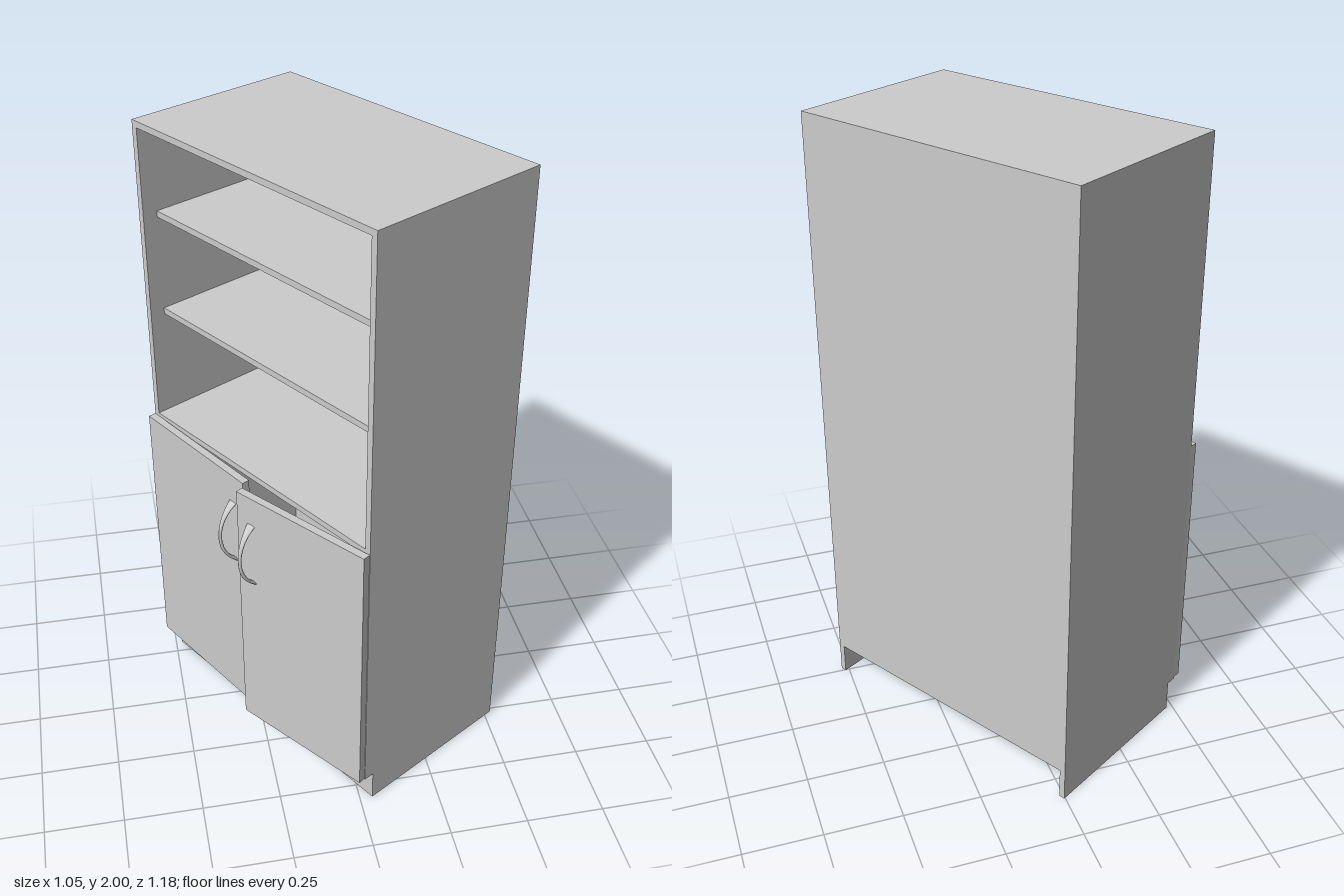
import * as THREE from 'three';

const W = 1.0, D = 0.6, H = 2, T = 0.02;
const KICK_H = 0.105, KICK_IN = 0.035;
const mat = new THREE.MeshStandardMaterial({ color: 0xcccccc, side: THREE.DoubleSide });

function add(parent, name, geometry, x = 0, y = 0, z = 0) {
  const mesh = new THREE.Mesh(geometry, mat);
  mesh.name = name;
  mesh.position.set(x, y, z);
  parent.add(mesh);
  return mesh;
}

// Box given by its limits on each axis
function panel(parent, name, [x0, x1], [y0, y1], [z0, z1]) {
  return add(parent, name, new THREE.BoxGeometry(x1 - x0, y1 - y0, z1 - z0),
    (x0 + x1) / 2, (y0 + y1) / 2, (z0 + z1) / 2);
}

// Side panel with a notch for the toe kick
function sideGeometry() {
  const f = D / 2, b = -D / 2;
  const shape = new THREE.Shape([
    [b, 0], [f - KICK_IN, 0], [f - KICK_IN, KICK_H], [f, KICK_H], [f, H], [b, H],
  ].map(([z, y]) => new THREE.Vector2(-z, y)));
  const g = new THREE.ExtrudeGeometry(shape, { depth: T, bevelEnabled: false });
  g.rotateY(Math.PI / 2);
  return g.translate(-T / 2, 0, 0);
}

// Bow handle: a rod bent to an arc, wider towards its feet
function handleGeometry() {
  const R = 0.1375, half = 0.927;
  const g = new THREE.CylinderGeometry(1, 1, 2, 12, 28);
  const p = g.attributes.position;
  for (let i = 0; i < p.count; i++) {
    const t = p.getY(i), a = t * half;
    const r = R + p.getZ(i) * 0.005;
    p.setXYZ(i, p.getX(i) * (0.006 + 0.01 * t * t), r * Math.sin(a), r * Math.cos(a) - R * Math.cos(half));
  }
  g.computeVertexNormals();
  return g;
}

// Door hung on a pivot; side is -1 or 1 for the hinge side
function addDoor(cabinet, name, side, angle) {
  const width = 0.493, thick = 0.025;
  const door = new THREE.Group();
  door.name = name;
  door.position.set(side * 0.499, 0, D / 2 + 0.001);
  door.rotation.y = side * angle;
  const far = -side * width;
  panel(door, name + 'Panel', [Math.min(0, far), Math.max(0, far)], [0.11, 1.01], [0, thick]);
  add(door, name + 'Handle', handleGeometry(), far + side * 0.055, 0.8, thick - 0.002);
  cabinet.add(door);
}

export function createModel() {
  const model = new THREE.Group();
  model.name = 'cupboard';

  // The whole cupboard stands turned on the floor
  const cabinet = new THREE.Group();
  cabinet.name = 'cabinet';
  cabinet.rotation.y = Math.atan2(-0.855, 0.52);
  cabinet.position.set(0.007, 0, -0.007);
  model.add(cabinet);

  const inner = [-W / 2 + T, W / 2 - T];
  const depth = [-D / 2 + T, D / 2];

  // Carcass
  add(cabinet, 'leftSide', sideGeometry(), W / 2 - T / 2);
  add(cabinet, 'rightSide', sideGeometry(), -W / 2 + T / 2);
  panel(cabinet, 'backPanel', inner, [KICK_H, H], [-D / 2, -D / 2 + T]);
  panel(cabinet, 'topPanel', inner, [H - T, H], depth);
  panel(cabinet, 'middlePanel', inner, [1.0, 1.02], depth);
  panel(cabinet, 'bottomPanel', inner, [KICK_H, KICK_H + T], depth);
  panel(cabinet, 'toeKick', inner, [0, KICK_H], [D / 2 - KICK_IN - T, D / 2 - KICK_IN]);

  // Open shelves, set back from the front
  for (const y of [1.375, 1.7]) {
    panel(cabinet, 'shelf', inner, [y - T / 2, y + T / 2], [-D / 2 + T, D / 2 - 0.05]);
  }

  // Doors, both slightly ajar
  addDoor(cabinet, 'rightDoor', -1, THREE.MathUtils.degToRad(2));
  addDoor(cabinet, 'leftDoor', 1, THREE.MathUtils.degToRad(6.7));

  return model;
}
